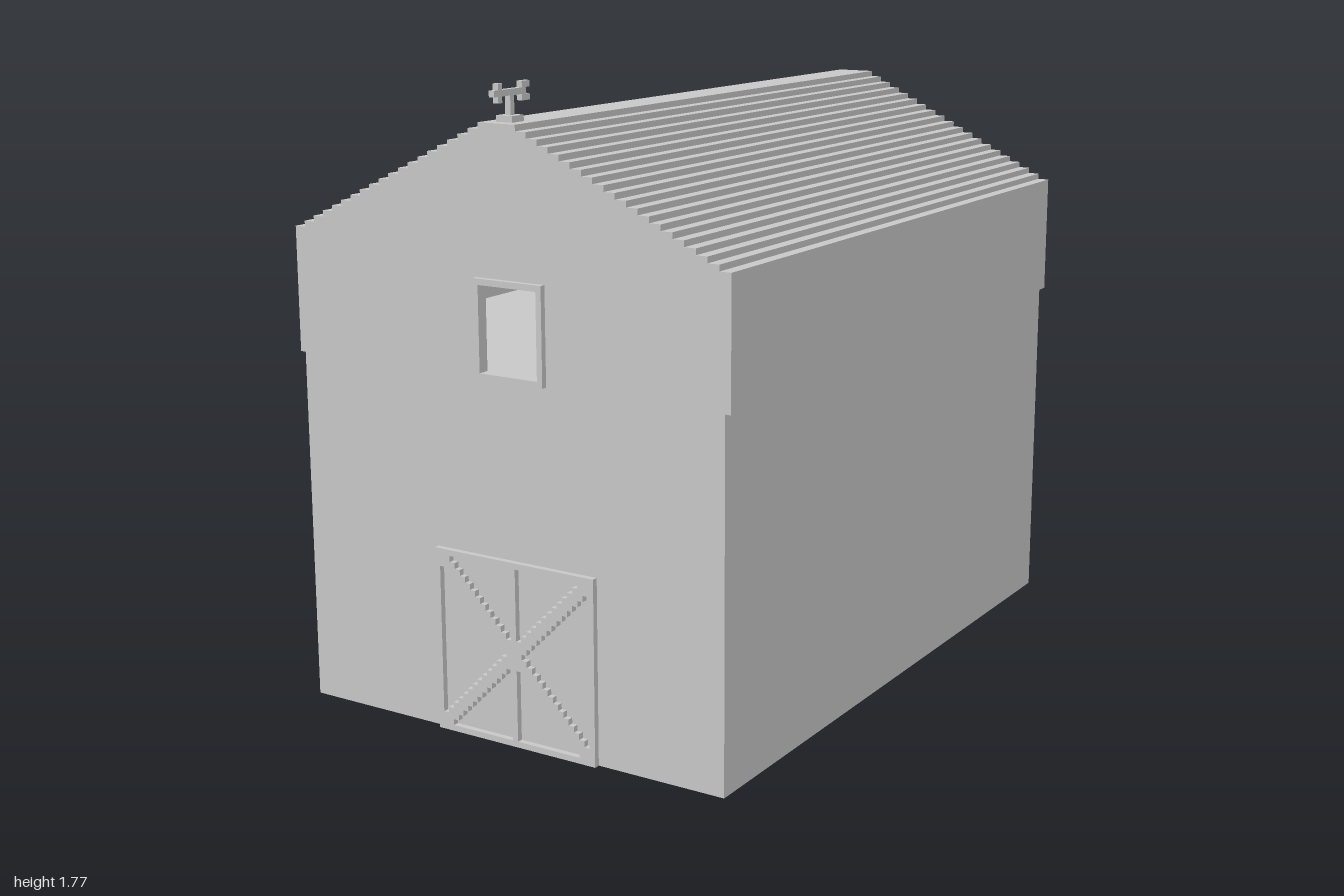
import * as THREE from 'three';

// All sizes are in block units; one block is 1/60 of a unit.
const BLOCK = 1 / 60;
const material = new THREE.MeshStandardMaterial({ color: 0xcccccc, flatShading: true });

function add(parent, name, geometry) {
  const mesh = new THREE.Mesh(geometry, material);
  mesh.name = name;
  parent.add(mesh);
  return mesh;
}

// Box given by its lower and upper limits
function box(parent, name, [x0, x1], [y0, y1], [z0, z1]) {
  const mesh = add(parent, name, new THREE.BoxGeometry(x1 - x0, y1 - y0, z1 - z0));
  mesh.position.set((x0 + x1) / 2, (y0 + y1) / 2, (z0 + z1) / 2);
}

function extrude(parent, name, shape, z0, z1) {
  const geometry = new THREE.ExtrudeGeometry(shape, { depth: z1 - z0, bevelEnabled: false });
  return add(parent, name, geometry.translate(0, 0, z0));
}

const toPath = (points) => new THREE.Path(points.map(([x, y]) => new THREE.Vector2(x, y)));
const rectangle = (x0, x1, y0, y1) => toPath([[x0, y0], [x1, y0], [x1, y1], [x0, y1]]);

// Barn cross-section: walls, wider eaves skirt and stepped gable roof
function barnShape() {
  const half = [[40.5, 0], [40.5, 60], [41.5, 60], [41.5, 81]];
  for (let k = 1; k <= 19; k++) half.push([41.5 - 2 * k, 80 + k], [41.5 - 2 * k, 81 + k]);
  const mirrored = half.map(([x, y]) => [-x, y]).reverse();
  return new THREE.Shape([...half, ...mirrored].map(([x, y]) => new THREE.Vector2(x, y)));
}

// Stepped opening in the door, one column per block; may be mirrored
function steppedHole(first, last, low, high, mirror) {
  const points = [];
  for (let i = first; i <= last; i++) points.push([i, low(i)], [i + 1, low(i)]);
  for (let i = last; i >= first; i--) points.push([i + 1, high(i)], [i, high(i)]);
  return toPath(points.map(([x, y]) => [(mirror ? 29 - x : x) + 1, y + 1]));
}

// Barn door: frame, centre post and crossed braces around six openings
function doorShape() {
  const shape = new THREE.Shape(rectangle(0, 31, 0, 31).getPoints());
  for (const mirror of [false, true]) {
    shape.holes.push(
      steppedHole(0, 12, (i) => i + 2, (i) => 27 - i, mirror),
      steppedHole(2, 13, (i) => 30 - i, () => 29, mirror),
      steppedHole(2, 13, () => 0, (i) => i - 1, mirror)
    );
  }
  return shape;
}

export function createModel() {
  const model = new THREE.Group();
  model.name = 'barn';
  model.scale.setScalar(BLOCK);

  // Main length of the barn with a hollow loft
  const bodyShape = barnShape();
  bodyShape.holes.push(rectangle(-40.5, 40.5, 61, 80));
  extrude(model, 'barnBody', bodyShape, -58, 58);

  // Gable walls with window openings and raised window frames
  const gableShape = barnShape();
  gableShape.holes.push(rectangle(-3.5, 7.5, 61, 75));
  const frameShape = new THREE.Shape(rectangle(-4.5, 8.5, 60, 76).getPoints());
  frameShape.holes.push(rectangle(-3.5, 7.5, 61, 75));
  extrude(model, 'frontGableWall', gableShape, 58, 59);
  extrude(model, 'backGableWall', gableShape, -59, -58);
  extrude(model, 'frontWindowFrame', frameShape, 59, 60);
  extrude(model, 'backWindowFrame', frameShape, -60, -59);

  // Door
  extrude(model, 'barnDoor', doorShape(), 59, 60).position.x = -13.5;

  // Weather vane on the front of the ridge
  const vane = new THREE.Group();
  vane.name = 'weatherVane';
  model.add(vane);
  const thin = [-0.5, 0.5];
  box(vane, 'vaneBase', [-1.5, 1.5], [100, 101], [54, 57]);
  box(vane, 'vanePost', thin, [101, 104], [55, 56]);
  box(vane, 'vaneArrow', thin, [104, 105], [52, 60]);
  for (const y of [103, 105]) {
    box(vane, 'arrowHead', thin, [y, y + 1], [58, 59]);
    box(vane, 'arrowTail', thin, [y, y + 1], [51, 53]);
  }
  return model;
}
